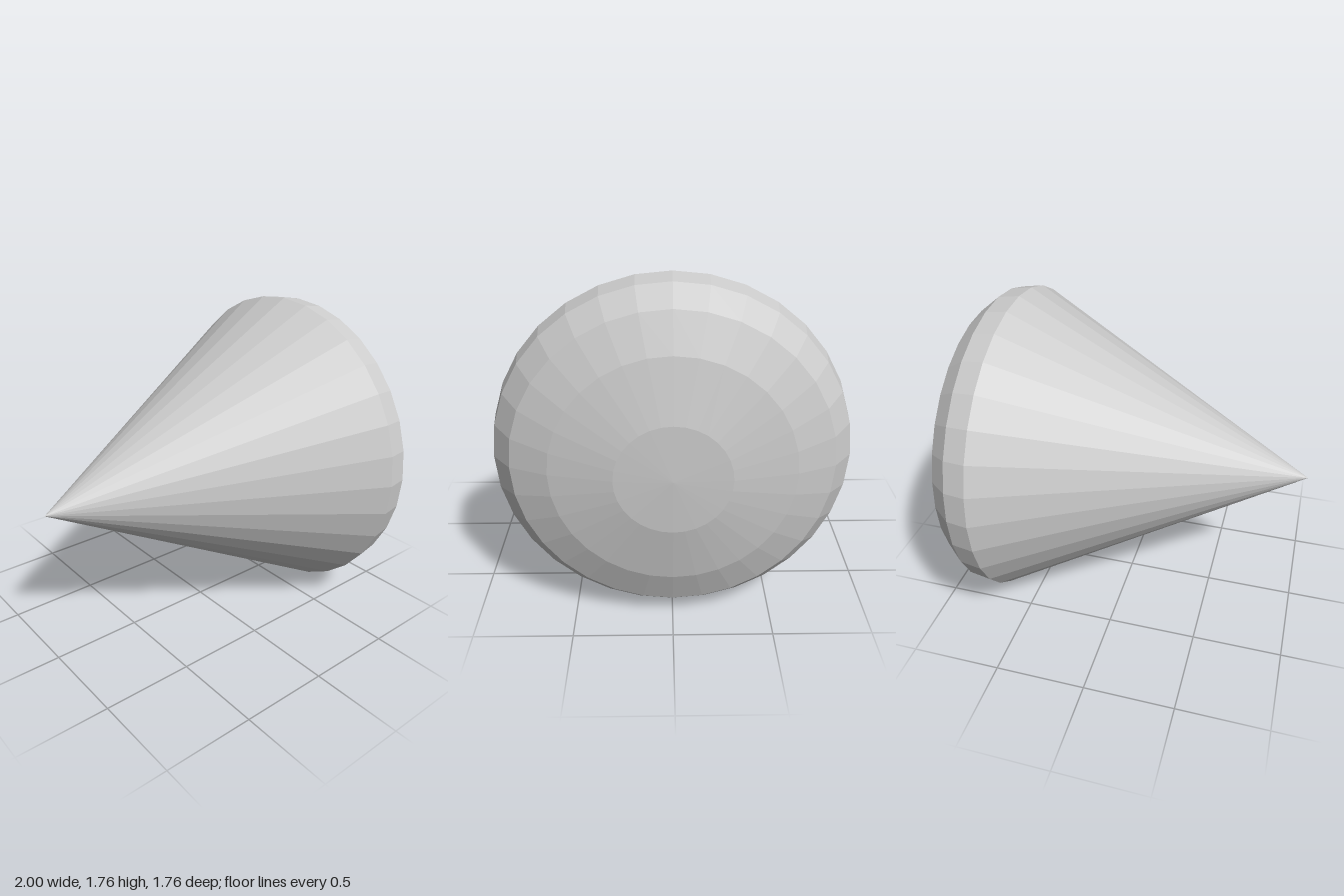
import * as THREE from 'three';

const SIDES = 32;
const RADIUS = 0.88;

export function createModel() {
  const group = new THREE.Group();
  const material = new THREE.MeshStandardMaterial({ color: 0xcccccc, flatShading: true });

  // Turns a profile of [radius, distance along x] around the x axis
  const turned = (name, profile) => {
    const points = profile.map(([r, x]) => new THREE.Vector2(r, x));
    const geometry = new THREE.LatheGeometry(points, SIDES);
    geometry.rotateZ(-Math.PI / 2);
    const mesh = new THREE.Mesh(geometry, material);
    mesh.name = name;
    mesh.position.y = RADIUS;
    group.add(mesh);
  };

  // Long cone with its tip at -x
  turned('cone', [[0, -1], [RADIUS, 0.62]]);

  // Shallow rounded cap closing the wide end
  turned('domedCap', [
    [RADIUS, 0.62], [0.862, 0.74], [0.77, 0.85],
    [0.583, 0.925], [0.277, 0.988], [0, 1],
  ]);

  return group;
}
